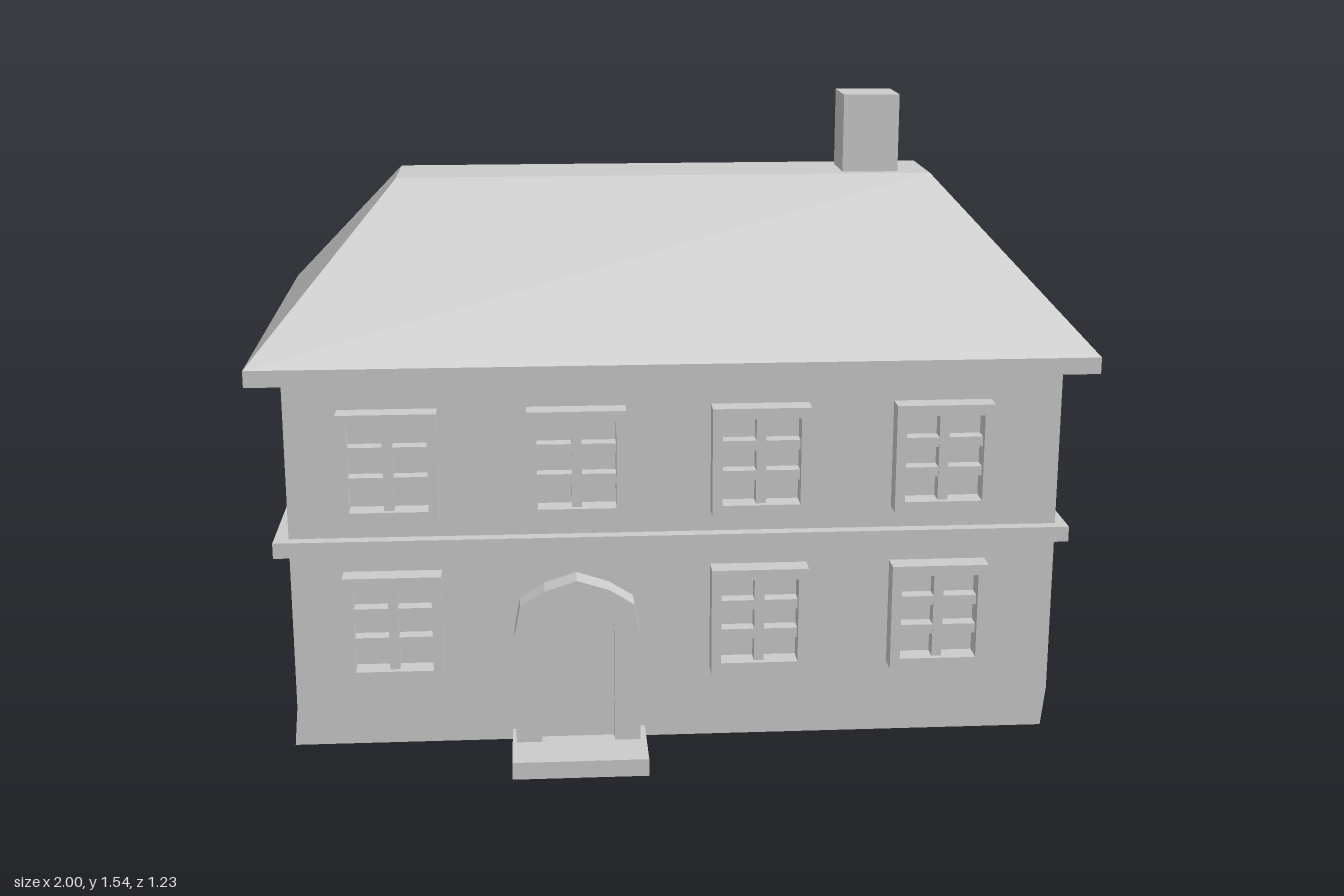
import * as THREE from 'three';

const material = new THREE.MeshStandardMaterial({ color: 0xcccccc, flatShading: true });

function add(parent, name, geometry) {
  const mesh = new THREE.Mesh(geometry, material);
  mesh.name = name;
  parent.add(mesh);
  return mesh;
}

// Box given by its limits on each axis
function block(parent, name, [x0, x1], [y0, y1], [z0, z1]) {
  const g = new THREE.BoxGeometry(x1 - x0, y1 - y0, z1 - z0);
  g.translate((x0 + x1) / 2, (y0 + y1) / 2, (z0 + z1) / 2);
  return add(parent, name, g);
}

const toPoints = (list) => list.map(([x, y]) => new THREE.Vector2(x, y));

// Outline drawn in the front plane, extruded from z0 to z1
function extrude(points, z0, z1, hole) {
  const shape = new THREE.Shape(toPoints(points));
  if (hole) shape.holes.push(new THREE.Path(toPoints(hole)));
  const g = new THREE.ExtrudeGeometry(shape, { depth: z1 - z0, bevelEnabled: false });
  return g.translate(0, 0, z0);
}

const rect = (w, h) => [[-w / 2, -h / 2], [w / 2, -h / 2], [w / 2, h / 2], [-w / 2, h / 2]];

// Mirrors the right half of an arch, listed from foot to crown
const arch = (half) => [...half, ...half.slice(0, -1).reverse().map(([x, y]) => [-x, y])];

function createWindow(x, y) {
  const w = new THREE.Group();
  w.name = 'window';
  add(w, 'windowFrame', extrude(rect(0.235, 0.265), 0.41, 0.462, rect(0.187, 0.213)));
  block(w, 'verticalBar', [-0.012, 0.012], [-0.107, 0.107], [0.41, 0.447]);
  for (const by of [-0.037, 0.037]) {
    block(w, 'crossBar', [-0.094, 0.094], [by - 0.012, by + 0.012], [0.41, 0.445]);
  }
  w.position.set(x, y, 0);
  return w;
}

export function createModel() {
  const house = new THREE.Group();
  house.name = 'house';

  // Walls, leaning slightly at the foot
  add(house, 'walls', extrude(
    [[-0.934, 0.01], [0.919, 0.01], [0.93, 0.11], [0.93, 0.95], [-0.925, 0.95], [-0.925, 0.11]],
    -0.55, 0.41));
  block(house, 'storeyBand', [-0.96, 0.957], [0.505, 0.543], [-0.575, 0.44]);

  // Hipped roof with a flat top, on an eaves slab
  block(house, 'eaves', [-1, 1], [0.937, 0.977], [-0.615, 0.485]);
  const roof = new THREE.BoxGeometry(2, 0.373, 1.1);
  roof.translate(0, 1.1635, -0.065);
  const p = roof.attributes.position;
  for (let i = 0; i < p.count; i++) {
    if (p.getY(i) < 1.2) continue;
    p.setX(i, Math.sign(p.getX(i)) * 0.667);
    p.setZ(i, p.getZ(i) > 0 ? 0.033 : -0.18);
  }
  roof.computeVertexNormals();
  add(house, 'roof', roof);
  block(house, 'chimney', [0.45, 0.59], [1.33, 1.543], [-0.14, 0.003]);

  // Windows: four above, three below beside the door
  const columns = [-0.681, -0.237, 0.202, 0.641];
  columns.forEach((x, i) => {
    house.add(createWindow(x, 0.728));
    if (i !== 1) house.add(createWindow(x, 0.325));
  });

  // Arched doorway with its door and step
  const doorway = new THREE.Group();
  doorway.name = 'doorway';
  doorway.position.x = -0.241;
  const outer = arch([[0.15, 0.03], [0.15, 0.32], [0.136, 0.393], [0.077, 0.43], [0, 0.455]]);
  const inner = arch([[0.088, 0.04], [0.088, 0.345], [0.056, 0.386], [0, 0.405]]);
  add(doorway, 'doorFrame', extrude(outer, 0.44, 0.502, inner));
  add(doorway, 'door', extrude(inner, 0.442, 0.472));
  block(doorway, 'doorStep', [-0.16, 0.165], [0, 0.043], [0.425, 0.615]);
  house.add(doorway);

  return house;
}
